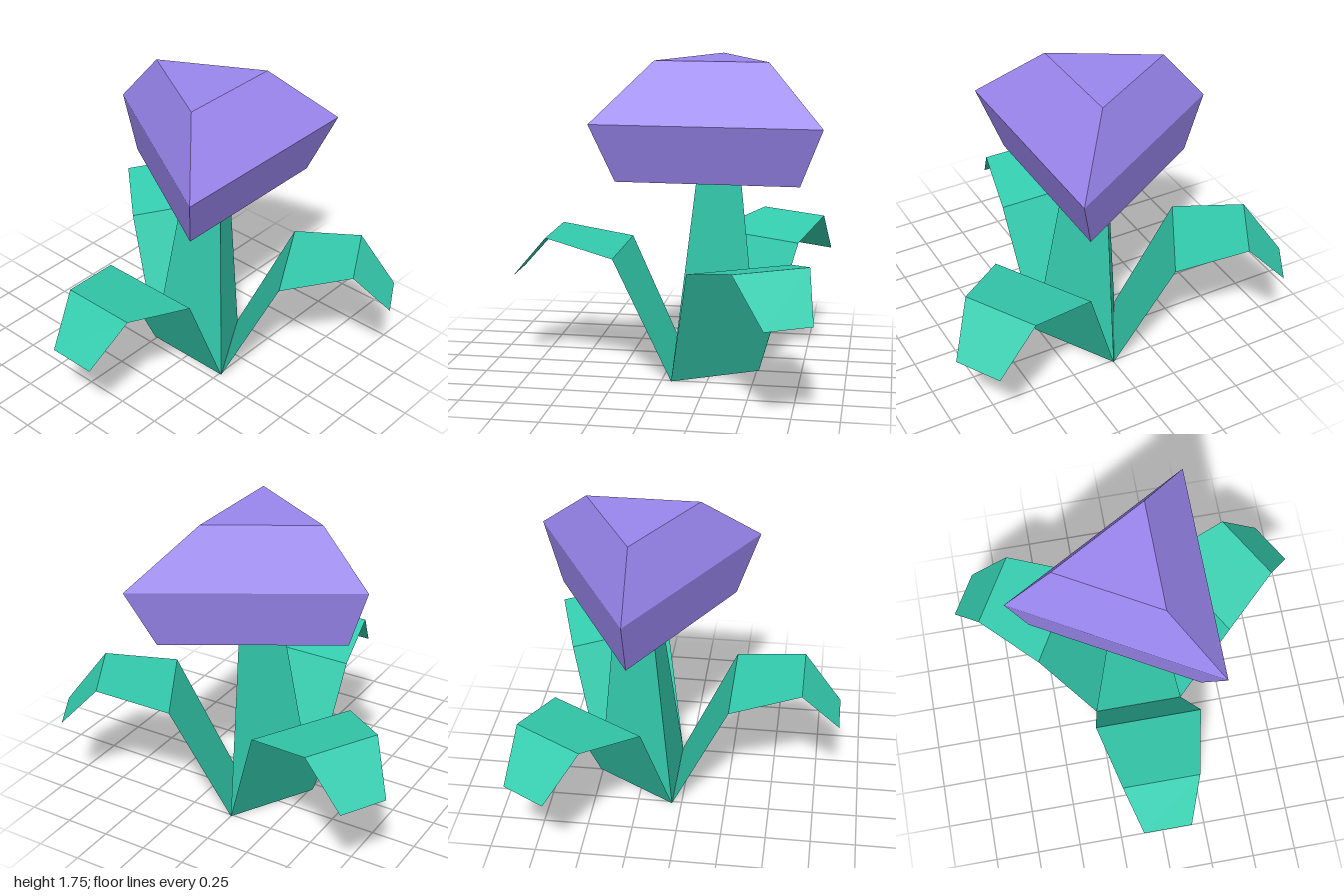
import * as THREE from 'three';

// Flat-shaded geometry from a list of Vector3 triangle corners
function fromCorners(points) {
  const geometry = new THREE.BufferGeometry().setFromPoints(points);
  geometry.computeVertexNormals();
  return geometry;
}

// Closed triangular solid lofted through rings of { y, x, z, r }
function triangularLoft(rings, startAngle) {
  const loops = rings.map(({ y, x, z, r }) => [0, 1, 2].map((i) => {
    const a = startAngle + (i * Math.PI * 2) / 3;
    return new THREE.Vector3(x + r * Math.cos(a), y, z + r * Math.sin(a));
  }));
  const points = [...loops[0]];
  for (let k = 0; k + 1 < loops.length; k++) {
    const low = loops[k], high = loops[k + 1];
    for (let i = 0; i < 3; i++) {
      const j = (i + 1) % 3;
      points.push(low[i], high[i], high[j], low[i], high[j], low[j]);
    }
  }
  points.push(...loops[loops.length - 1].slice().reverse());
  return fromCorners(points);
}

// Folded strip running out along +x, from stations [distance, height, half width]
function foldedStrip(stations) {
  const points = [];
  for (let k = 0; k + 1 < stations.length; k++) {
    const [r0, y0, w0] = stations[k], [r1, y1, w1] = stations[k + 1];
    const a = new THREE.Vector3(r0, y0, -w0), b = new THREE.Vector3(r0, y0, w0);
    const c = new THREE.Vector3(r1, y1, w1), d = new THREE.Vector3(r1, y1, -w1);
    points.push(a, b, c, a, c, d);
  }
  return fromCorners(points);
}

export function createModel() {
  const model = new THREE.Group();
  model.name = 'flower';
  const green = new THREE.MeshStandardMaterial({ color: 0x34cdaf, flatShading: true });
  const leafGreen = green.clone();
  leafGreen.side = THREE.DoubleSide;
  const purple = new THREE.MeshStandardMaterial({ color: 0x9b87f0, flatShading: true });
  const axisX = 0.207;

  // Tapered three-sided stem, one edge towards +x
  const stem = new THREE.Mesh(triangularLoft([
    { y: 0, x: axisX, z: 0, r: 0.305 },
    { y: 1.11, x: 0.247, z: 0, r: 0.15 },
  ], 0), green);
  stem.name = 'stem';
  model.add(stem);

  // Three drooping leaves, each growing from one side of the stem base
  const leafGeometry = foldedStrip([
    [0.153, 0, 0.264],
    [0.47, 0.685, 0.3],
    [0.863, 0.77, 0.215],
    [1.076, 0.525, 0.135],
  ]);
  for (let i = 0; i < 3; i++) {
    const leaf = new THREE.Mesh(leafGeometry, leafGreen);
    leaf.name = `leaf${i + 1}`;
    leaf.position.x = axisX;
    leaf.rotation.y = Math.PI / 3 + (i * Math.PI * 2) / 3;
    model.add(leaf);
  }

  // Three-sided bloom, one corner towards the back
  const bloom = new THREE.Mesh(triangularLoft([
    { y: 1.11, x: 0.247, z: 0, r: 0.571 },
    { y: 1.43, x: 0.247, z: 0.035, r: 0.712 },
    { y: 1.745, x: 0.247, z: -0.055, r: 0.356 },
  ], -Math.PI / 2), purple);
  bloom.name = 'bloom';
  model.add(bloom);

  return model;
}
